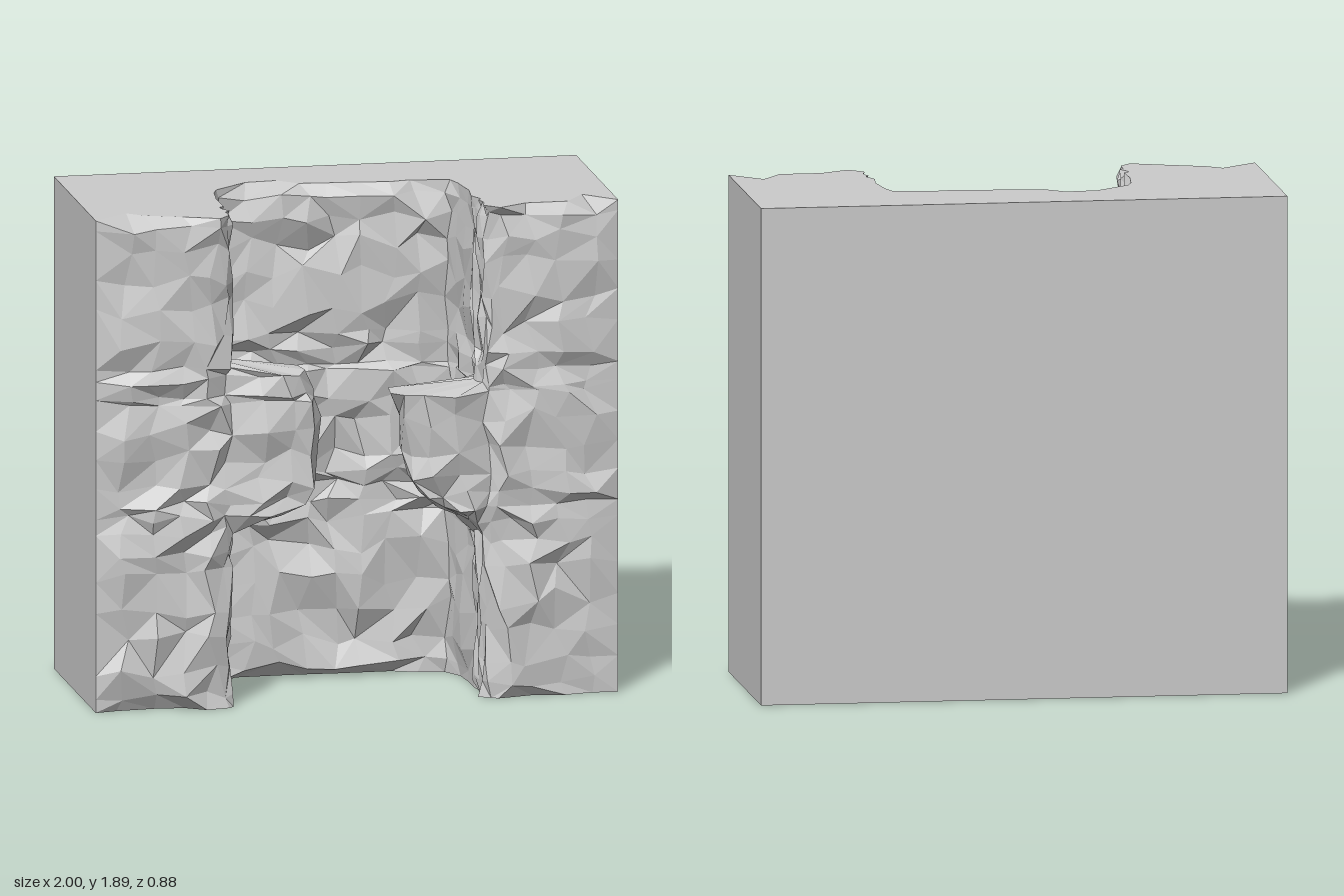
import * as THREE from 'three';

const H = 1.89, BACK = -0.45, FRONT = 0.37;

// Row heights, closer together around the ledges and rims
const ROWS = [0, 0.05, 0.14, 0.26, 0.38, 0.5, 0.61, 0.68, 0.74, 0.79, 0.86, 0.97, 1.08,
  1.175, 1.2, 1.27, 1.315, 1.43, 1.55, 1.66, 1.77, 1.85, H];

// Edge of each jutting rock: [height, distance from the centre line]
const LEFT_ROCK = [[0.62, 0.48], [0.7, 0.4], [0.76, 0.28], [0.86, 0.2], [1.0, 0.18], [1.175, 0.14], [1.2, 0.48]];
const RIGHT_ROCK = [[0.68, 0.48], [0.74, 0.26], [0.8, 0.17], [1.05, 0.13], [1.23, 0.16], [1.28, 0.2], [1.315, 0.48]];

function seeded(seed) {
  return () => {
    seed = (seed * 16807) % 2147483647;
    return seed / 2147483647;
  };
}

function sample(table, y) {
  if (y <= table[0][0]) return table[0][1];
  for (let i = 1; i < table.length; i++) {
    const [y0, v0] = table[i - 1], [y1, v1] = table[i];
    if (y <= y1) return v0 + (v1 - v0) * (y - y0) / (y1 - y0);
  }
  return table[table.length - 1][1];
}

// Half of a row, from the outer edge to the middle: [x, z, jitter x, jitter z]
function halfRow(tip) {
  const wall = 0.485;
  const grown = Math.min(1, (wall - tip) * 5);
  const pts = [[1, FRONT, 0, 0]];
  for (const [x, z] of [[0.89, 0.39], [0.78, 0.395], [0.66, 0.4], [0.56, 0.4]]) pts.push([x, z, 0.03, 0.025]);
  pts.push([0.5, 0.38, 0.02, 0.015]);
  // Jutting rock: front, tip, back; it collapses onto the wall when there is none
  const rock = [[0.35, 0.41], [0.7, 0.41], [0.92, 0.395], [1, 0.32], [0.95, 0.25], [0.5, 0.235]];
  rock.forEach(([f, z], i) => {
    const flat = 0.355 - i * 0.026;
    pts.push([
      THREE.MathUtils.lerp(wall, tip, f),
      THREE.MathUtils.lerp(flat, z, grown),
      0.018, 0.005 + 0.02 * grown * (i < 4 ? 1 : 0.4),
    ]);
  });
  // Recess side wall and back wall
  pts.push([0.475, 0.2, 0.015, 0.01], [0.465, 0.08, 0.02, 0.02], [0.46, -0.03, 0.015, 0.02], [0.44, -0.1, 0.015, 0.015]);
  for (const x of [0.33, 0.22, 0.11]) pts.push([x, -0.1, 0.03, 0.03]);
  return pts;
}

function buildRows() {
  const rnd = seeded(4217);
  const jit = (a) => (rnd() * 2 - 1) * a;
  return ROWS.map((y, r) => {
    const top = r === ROWS.length - 1, bottom = r === 0;
    const gap = top || bottom ? 0 : Math.min(y - ROWS[r - 1], ROWS[r + 1] - y);
    const right = halfRow(sample(LEFT_ROCK, y));
    const left = halfRow(sample(RIGHT_ROCK, y)).map(([x, z, a, b]) => [-x, z, a, b]);
    const path = [...left, [0, -0.1, 0.03, 0.03], ...right.reverse()];
    const row = path.map(([x, z, a, b], i) => {
      if (b === 0) return new THREE.Vector3(x, y, z);
      const p = new THREE.Vector3(x + jit(a), y + jit(gap * 0.35), z + jit(b));
      // Chipped upper and lower rims
      const open = Math.abs(x) < 0.4 || Math.abs(x) > 0.6;
      if (top && open) p.z -= i % 3 ? 0.03 + 0.11 * rnd() : 0.02;
      if (bottom && open) p.z -= 0.03 + 0.03 * rnd();
      return p;
    });
    // Flat back of the block
    row.push(new THREE.Vector3(1, y, BACK), new THREE.Vector3(-1, y, BACK));
    return row;
  });
}

// Faceted skin joining the rows
function skin(rows) {
  const rnd = seeded(91);
  const pos = [];
  const tri = (...v) => v.forEach((p) => pos.push(p.x, p.y, p.z));
  for (let r = 0; r < rows.length - 1; r++) {
    const n = rows[r].length;
    for (let i = 0; i < n; i++) {
      const j = (i + 1) % n;
      const a = rows[r][i], b = rows[r][j], c = rows[r + 1][j], d = rows[r + 1][i];
      if (rnd() < 0.5) {
        tri(a, b, c);
        tri(a, c, d);
      } else {
        tri(a, b, d);
        tri(b, c, d);
      }
    }
  }
  const geo = new THREE.BufferGeometry();
  geo.setAttribute('position', new THREE.Float32BufferAttribute(pos, 3));
  geo.computeVertexNormals();
  return geo;
}

// Flat end face; up is 1 for the top and -1 for the bottom
function cap(row, up) {
  const shape = new THREE.Shape(row.map((p) => new THREE.Vector2(p.x, -up * p.z)));
  return new THREE.ShapeGeometry(shape).rotateX(-up * Math.PI / 2).translate(0, row[0].y, 0);
}

export function createModel() {
  const group = new THREE.Group();
  group.name = 'rockWall';
  const material = new THREE.MeshStandardMaterial({ color: 0xcccccc, flatShading: true });
  const add = (name, geo) => {
    const mesh = new THREE.Mesh(geo, material);
    mesh.name = name;
    group.add(mesh);
  };
  const rows = buildRows();
  add('rockFaceAndSides', skin(rows));
  add('topFace', cap(rows[rows.length - 1], 1));
  add('bottomFace', cap(rows[0], -1));
  return group;
}
